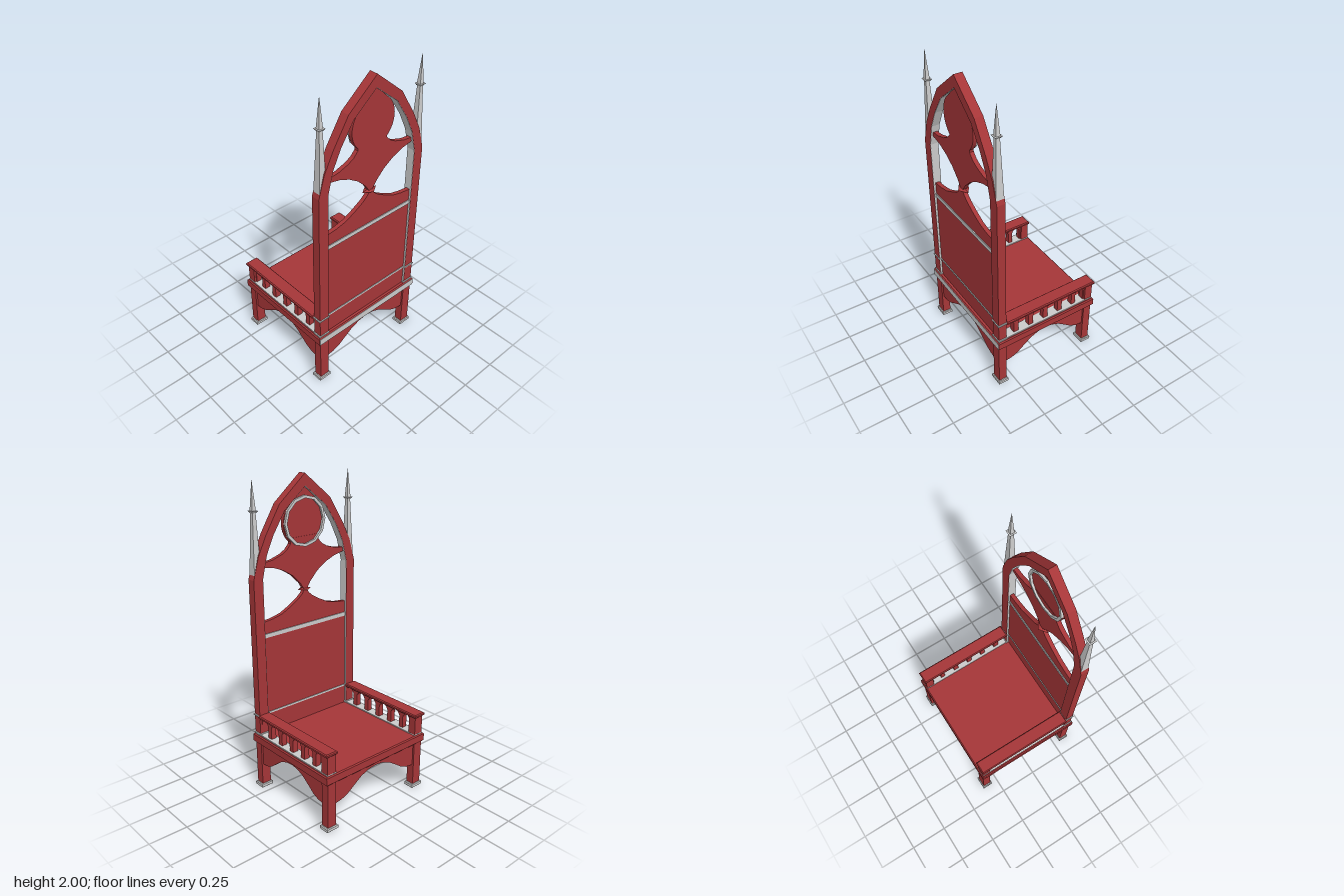
import * as THREE from 'three';

const red = new THREE.MeshStandardMaterial({ color: 0xa63638, flatShading: true });
const grey = new THREE.MeshStandardMaterial({ color: 0xcccccc, flatShading: true });

function add(parent, name, geometry, material, x = 0, y = 0, z = 0) {
  const mesh = new THREE.Mesh(geometry, material);
  mesh.name = name;
  mesh.position.set(x, y, z);
  parent.add(mesh);
  return mesh;
}

const box = (w, h, d) => new THREE.BoxGeometry(w, h, d);
const toShape = (pts) => new THREE.Shape(pts.map(([x, y]) => new THREE.Vector2(x, y)));
const mirrorX = (pts) => pts.map(([x, y]) => [-x, y]).reverse();

// Plate extruded along z, centred on its own depth
function plate(shape, depth) {
  const g = new THREE.ExtrudeGeometry(shape, { depth, bevelEnabled: false, curveSegments: 6 });
  return g.translate(0, 0, -depth / 2);
}

// Box with chamfered top and bottom edges
function slab(w, h, d, b) {
  const x = w / 2 - b, z = d / 2 - b;
  const g = new THREE.ExtrudeGeometry(toShape([[-x, -z], [x, -z], [x, z], [-x, z]]), {
    depth: h - 2 * b, bevelSize: b, bevelThickness: b, bevelSegments: 1,
  });
  return g.translate(0, 0, b - h / 2).rotateX(-Math.PI / 2);
}

// Square-section taper with sides parallel to the axes
const taper = (top, bottom, h) =>
  new THREE.CylinderGeometry(top * Math.SQRT2, bottom * Math.SQRT2, h, 4).rotateY(Math.PI / 4);

const BACK = 0.328;   // z of the tall back
const LEG = 0.367;    // x of the legs

function buildBase() {
  const base = new THREE.Group();
  base.name = 'base';

  // Legs with stepped feet
  for (const x of [-LEG, LEG]) for (const z of [-BACK, BACK]) {
    add(base, 'leg', box(0.064, 0.32, 0.054), red, x, 0.17, z);
    add(base, 'foot', slab(0.088, 0.028, 0.07, 0.005), grey, x, 0.014, z);
  }

  // Wavy aprons: red outer face on a grey backing
  const half = [[0, 0.3], [0.06, 0.293], [0.12, 0.27], [0.18, 0.23], [0.23, 0.195], [0.28, 0.175], [0.337, 0.168]];
  const apron = (span) => {
    const k = span / 0.337;
    const curve = half.map(([x, y]) => [x * k, y]);
    return toShape([[-span, 0.33], ...mirrorX(curve), ...curve.slice(1), [span, 0.33]]);
  };
  for (let i = 0; i < 4; i++) {
    const side = i % 2 === 1;
    const span = side ? 0.303 : 0.337;
    const out = side ? 0.385 : 0.342;
    const panel = new THREE.Group();
    panel.name = 'apron';
    add(panel, 'apronBacking', plate(apron(span), 0.018), grey, 0, 0, out - 0.011);
    add(panel, 'apronFace', plate(apron(span), 0.004), red, 0, 0, out);
    panel.rotation.y = i * Math.PI / 2;
    base.add(panel);
  }

  // Seat slab and its grey edge strip
  add(base, 'seat', slab(0.828, 0.06, 0.728, 0.007), red, 0, 0.354, 0);
  add(base, 'seatEdge', box(0.82, 0.046, 0.004), grey, 0, 0.354, 0.364);
  return base;
}

function buildArm(side) {
  const arm = new THREE.Group();
  arm.name = side > 0 ? 'leftArm' : 'rightArm';

  // Arcade of six pointed openings
  const wall = toShape([[-0.355, 0.38], [0.302, 0.38], [0.302, 0.513], [-0.355, 0.513]]);
  for (let i = 0; i < 6; i++) {
    const c = -0.275 + i * 0.11 + (i === 0 ? 0.012 : 0);
    const w = i === 0 ? 0.03 : 0.038;
    const hole = new THREE.Path();
    hole.moveTo(c - w, 0.386);
    hole.lineTo(c - w, 0.468);
    hole.quadraticCurveTo(c - w * 0.75, 0.493, c, 0.506);
    hole.quadraticCurveTo(c + w * 0.75, 0.493, c + w, 0.468);
    hole.lineTo(c + w, 0.386);
    hole.closePath();
    wall.holes.push(hole);
  }
  const arcade = add(arm, 'arcade', plate(wall, 0.036), red, side * LEG);
  arcade.rotation.y = -Math.PI / 2;

  add(arm, 'armPost', box(0.064, 0.13, 0.054), red, side * LEG, 0.448, -BACK);
  add(arm, 'armSill', box(0.068, 0.008, 0.655), grey, side * LEG, 0.387, -0.028);
  add(arm, 'armRail', slab(0.088, 0.022, 0.662, 0.006), red, side * 0.37, 0.519, -0.031);
  return arm;
}

function buildBack() {
  const back = new THREE.Group();
  back.name = 'back';
  back.position.z = BACK;

  // Posts and pointed arch in one frame, with a grey inner lining
  const outer = [[0.4, 0.36], [0.4, 1.41], [0.36, 1.55], [0.3, 1.67], [0.196, 1.838], [0, 2]];
  const inner = [[0.334, 0.36], [0.334, 1.41], [0.3, 1.55], [0.245, 1.665], [0.16, 1.795], [0, 1.925]];
  const lining = inner.map(([x, y], i) => (i === 5 ? [0, y - 0.003] : [x - 0.002, y - 0.001]));
  const arch = (a, b) => toShape([...a, ...mirrorX(a).slice(1), ...b.map(([x, y]) => [-x, y]), ...mirrorX(b.map(([x, y]) => [-x, y])).slice(1)]);
  add(back, 'archFrame', plate(arch(outer, inner), 0.054), red);
  add(back, 'archLining', plate(arch(inner, lining), 0.052), grey);

  // Solid panel rising to a point in the middle
  const crest = [[0.335, 1.132], [0.26, 1.14], [0.19, 1.156], [0.12, 1.19], [0.06, 1.225], [0.025, 1.255], [0.008, 1.285]];
  add(back, 'backPanel', plate(toShape([[-0.335, 0.37], [0.335, 0.37], ...crest, ...mirrorX(crest)]), 0.026), red);

  // Winged tracery between the panel and the roundel
  const wing = [[0.008, 1.275], [0.04, 1.325], [0.1, 1.385], [0.17, 1.43], [0.24, 1.458], [0.325, 1.476],
    [0.325, 1.5], [0.25, 1.508], [0.18, 1.53], [0.14, 1.552], [0.11, 1.585], [0.11, 1.62]];
  add(back, 'tracery', plate(toShape([...wing, ...mirrorX(wing)]), 0.026), red);

  // Diamond boss at the waist
  const boss = add(back, 'diamondBoss', new THREE.OctahedronGeometry(1), red, 0, 1.28, 0);
  boss.scale.set(0.054, 0.012, 0.036);

  // Roundel filled up to the arch, with a grey rim on the seat side
  const R = 0.158, cy = 1.712;
  const drop = new THREE.Shape();
  drop.moveTo(0, 1.93);
  drop.lineTo(-0.1, cy + 0.122);
  drop.absarc(0, cy, R, Math.PI * 0.72, Math.PI * 2.28, false);
  drop.closePath();
  add(back, 'roundel', new THREE.ExtrudeGeometry(drop, { depth: 0.026, bevelEnabled: false, curveSegments: 24 }), red, 0, 0, -0.011);
  const rim = new THREE.Shape().absarc(0, cy, R, 0, Math.PI * 2);
  rim.holes.push(new THREE.Path().absarc(0, cy, R - 0.018, 0, Math.PI * 2, true));
  add(back, 'roundelRim', plate(rim, 0.014), grey, 0, 0, -0.018);

  // Horizontal mouldings
  add(back, 'upperMoulding', box(0.668, 0.026, 0.036), grey, 0, 1.042, 0);
  add(back, 'lowerMoulding', box(0.668, 0.012, 0.034), grey, 0, 0.518, 0);

  for (const side of [-1, 1]) {
    const x = side * LEG;
    // Collars around the posts
    add(back, 'postBand', slab(0.08, 0.014, 0.064, 0.004), grey, x, 0.518, 0);
    add(back, 'postCollar', slab(0.078, 0.016, 0.062, 0.004), grey, x, 0.39, 0);
    // Spires
    add(back, 'spire', taper(0.011, 0.026, 0.4), grey, x, 1.61, 0);
    add(back, 'spireCollar', taper(0.022, 0.014, 0.012), grey, x, 1.81, 0);
    add(back, 'spireTip', taper(0.0005, 0.013, 0.175), grey, x, 1.9025, 0);
  }
  return back;
}

export function createModel() {
  const model = new THREE.Group();
  model.name = 'highBackedThrone';
  model.add(buildBase(), buildArm(1), buildArm(-1), buildBack());
  return model;
}
